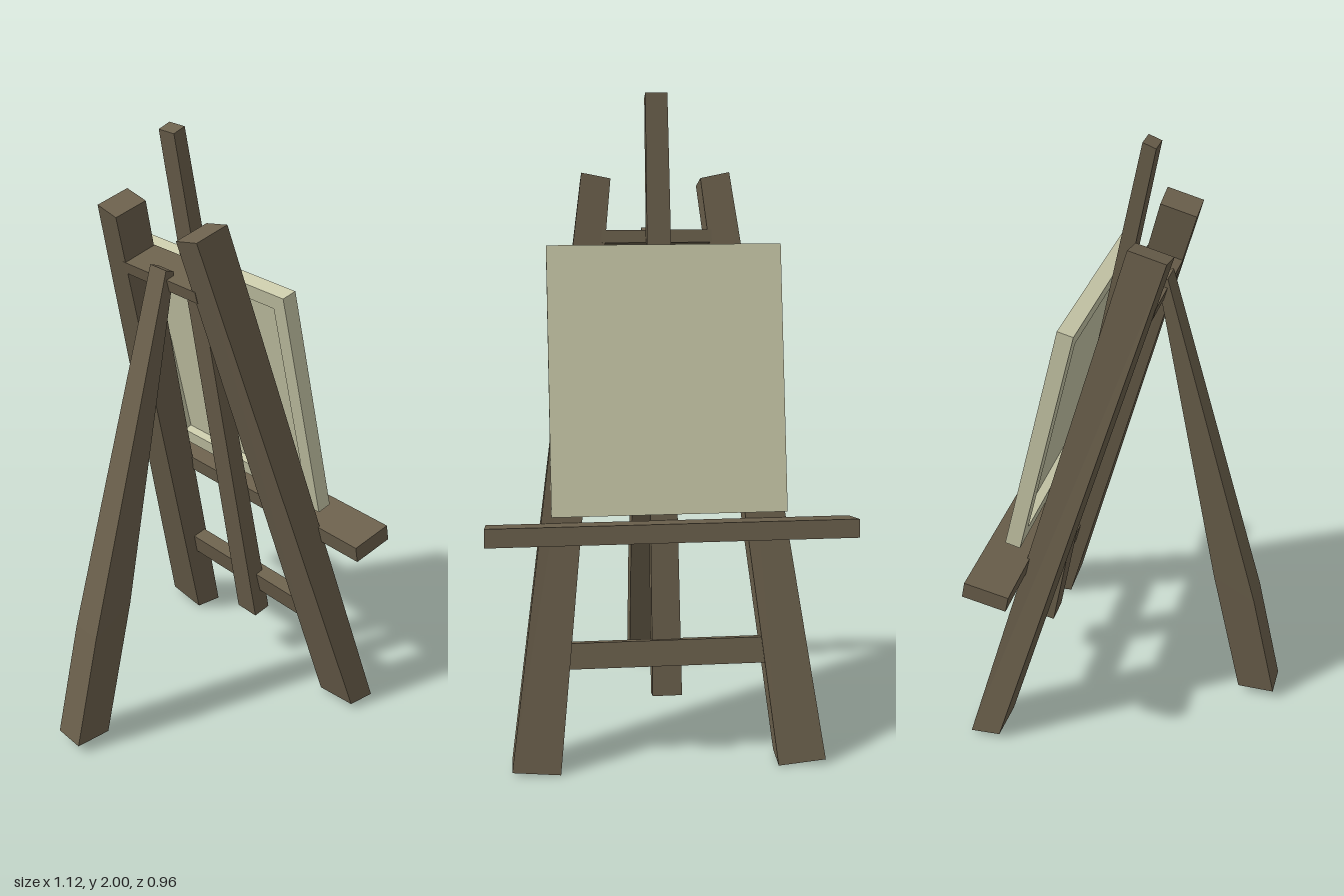
import * as THREE from 'three';

const CX = 0.016; // the easel's own centre line
const wood = new THREE.MeshStandardMaterial({ color: 0x6b604c, flatShading: true });
const cloth = new THREE.MeshStandardMaterial({ color: 0xcacaaa, flatShading: true });

// Tapered bar: sections run bottom to top.
// Each is { x: [inner, outer], back: [z, y], front: [z, y], rise: extra y on the outer edge }
function bar(name, sections, side = 1) {
  const n = sections.length - 1;
  const geo = new THREE.BoxGeometry(1, 1, 1, 1, n, 1);
  const p = geo.attributes.position;
  for (let i = 0; i < p.count; i++) {
    const s = sections[Math.round((p.getY(i) + 0.5) * n)];
    const outer = p.getX(i) * side > 0;
    const [z, y] = p.getZ(i) > 0 ? s.back : s.front;
    p.setXYZ(i, CX + side * s.x[outer ? 1 : 0], y + (outer ? s.rise || 0 : 0), z);
  }
  geo.computeVertexNormals();
  const mesh = new THREE.Mesh(geo, wood);
  mesh.name = name;
  return mesh;
}

// Straight cross piece, tipped about x
function plank(name, size, y, z, tilt, x = CX) {
  const mesh = new THREE.Mesh(new THREE.BoxGeometry(...size), wood);
  mesh.position.set(x, y, z);
  mesh.rotation.x = tilt;
  mesh.name = name;
  return mesh;
}

function rect(shape, w, h) {
  shape.moveTo(-w / 2, -h / 2);
  shape.lineTo(w / 2, -h / 2);
  shape.lineTo(w / 2, h / 2);
  shape.lineTo(-w / 2, h / 2);
  shape.closePath();
  return shape;
}

// Stretched canvas: thin sheet with a stretcher frame on its back (+z)
function makeCanvas() {
  const w = 0.71, h = 0.812, t = 0.05, sheet = 0.02, border = 0.05;
  const group = new THREE.Group();
  group.name = 'canvas';
  const face = new THREE.Mesh(new THREE.BoxGeometry(w, h, sheet), cloth);
  face.position.z = -t / 2 + sheet / 2;
  face.name = 'canvasSheet';
  const outline = rect(new THREE.Shape(), w, h);
  outline.holes.push(rect(new THREE.Path(), w - 2 * border, h - 2 * border));
  const frame = new THREE.Mesh(
    new THREE.ExtrudeGeometry(outline, { depth: t - sheet, bevelEnabled: false }), cloth);
  frame.position.z = -t / 2 + sheet;
  frame.name = 'stretcherFrame';
  group.add(face, frame);
  group.position.set(0.005, 1.153, -0.23);
  group.rotation.x = 0.248;
  return group;
}

export function createModel() {
  const easel = new THREE.Group();
  easel.name = 'easel';

  // pair of leaning legs
  for (const side of [-1, 1]) {
    easel.add(bar(side > 0 ? 'leftLeg' : 'rightLeg', [
      { x: [0.33, 0.475], back: [-0.38, 0.006], front: [-0.48, 0], rise: 0.014 },
      { x: [0.14, 0.23], back: [0.127, 1.712], front: [0.013, 1.742], rise: 0.018 },
    ], side));
  }

  // prop leg, bent near the foot
  easel.add(bar('propLeg', [
    { x: [-0.042, 0.064], back: [0.48, 0.03], front: [0.357, 0.03] },
    { x: [-0.041, 0.064], back: [0.395, 0.42], front: [0.255, 0.5] },
    { x: [-0.034, 0.04], back: [0.082, 1.585], front: [0.052, 1.575] },
  ]));

  // central mast
  easel.add(bar('mast', [
    { x: [-0.044, 0.046], back: [-0.322, 0.185], front: [-0.385, 0.2] },
    { x: [-0.036, 0.032], back: [0.045, 1.985], front: [0.005, 2] },
  ]));

  // cross rails and tray
  easel.add(plank('topRail', [0.34, 0.04, 0.12], 1.552, 0.018, 0.27));
  easel.add(plank('lowerRail', [0.63, 0.078, 0.05], 0.329, -0.355, 0.27));
  easel.add(plank('tray', [1.115, 0.056, 0.143], 0.711, -0.348, 0.21, 0));

  easel.add(makeCanvas());
  return easel;
}
